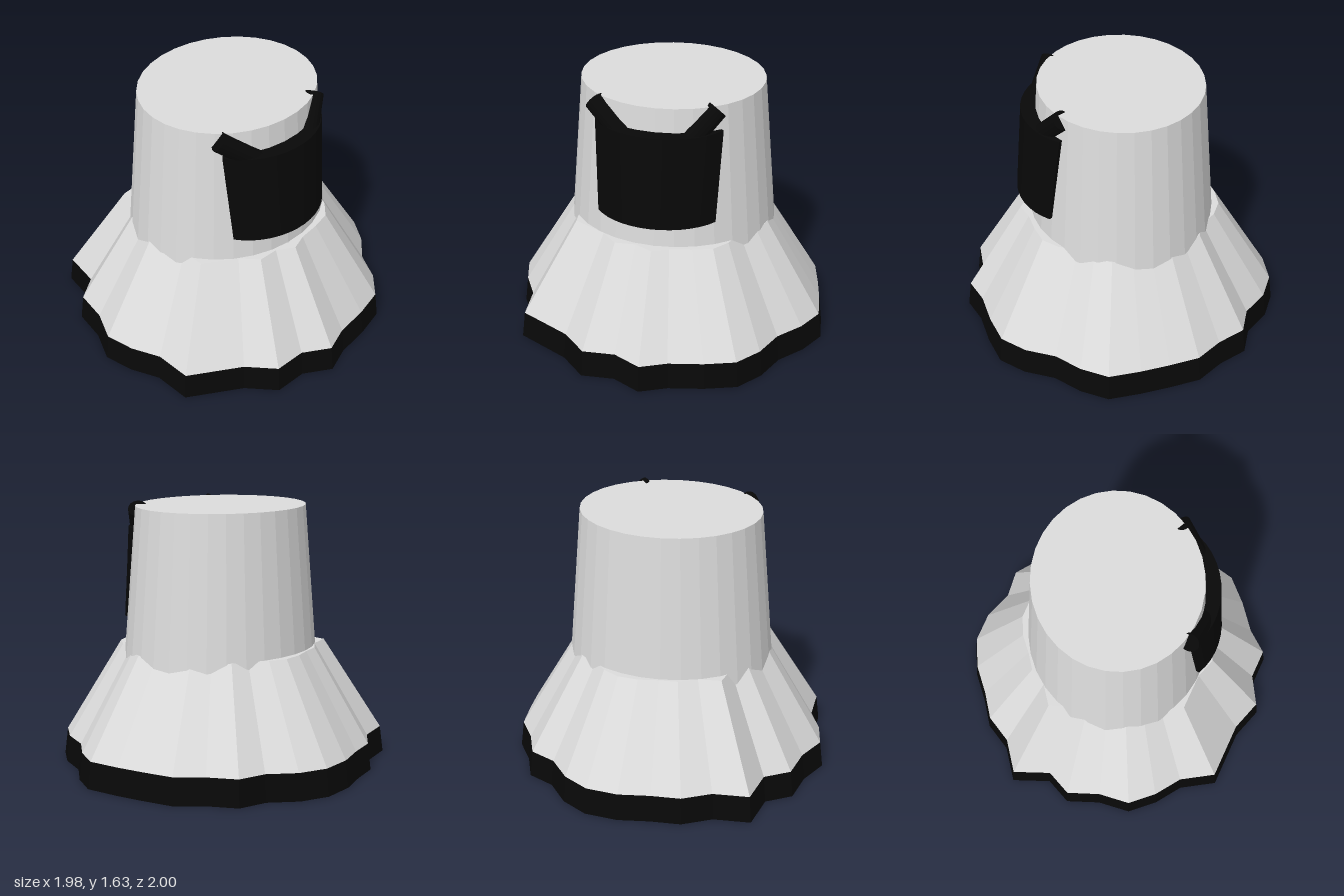
import * as THREE from 'three';

const lightGrey = new THREE.MeshStandardMaterial({ color: 0xdcdcdc, flatShading: true });
lightGrey.name = 'lightGrey';
const black = new THREE.MeshStandardMaterial({ color: 0x080808, flatShading: true });
black.name = 'black';

// Pleated hem outline, x and z of each corner
const HEM = [
  [0.19, -0.99], [0.35, -0.90], [0.49, -0.77], [0.67, -0.69], [0.81, -0.57], [0.87, -0.38], [0.91, -0.17], [0.98, -0.01],
  [0.89, 0.16], [0.90, 0.36], [0.75, 0.51], [0.67, 0.66], [0.58, 0.83], [0.35, 0.85], [0.18, 0.94], [0, 0.99],
  [-0.19, 0.92], [-0.40, 0.90], [-0.51, 0.76], [-0.75, 0.74], [-0.79, 0.52], [-0.90, 0.36], [-0.93, 0.18], [-0.98, -0.01],
  [-0.98, -0.21], [-0.90, -0.38], [-0.76, -0.52], [-0.70, -0.69], [-0.53, -0.78], [-0.38, -0.90], [-0.19, -0.94], [-0.01, -0.97],
];

// Sweeps a [scale, y] profile around the hem outline
function pleated(profile) {
  const pos = [];
  const corner = (i, [s, y]) => {
    const [x, z] = HEM[i % HEM.length];
    return [x * s, y, z * s];
  };
  for (let k = 0; k < profile.length - 1; k++) {
    for (let i = 0; i < HEM.length; i++) {
      const a = corner(i, profile[k]), b = corner(i, profile[k + 1]);
      const c = corner(i + 1, profile[k]), d = corner(i + 1, profile[k + 1]);
      pos.push(...a, ...b, ...c, ...c, ...b, ...d);
    }
  }
  const g = new THREE.BufferGeometry();
  g.setAttribute('position', new THREE.Float32BufferAttribute(pos, 3));
  g.computeVertexNormals();
  return g;
}

// Oval body measurements
const CX = -0.016, CZ = -0.005, OVAL = 1.113, TOP = 1.615, BASE = 0.61;
const radiusAt = (y) => 0.5 + (TOP - y) * 0.078;

export function createModel() {
  const model = new THREE.Group();
  const add = (name, geometry, material) => {
    const mesh = new THREE.Mesh(geometry, material);
    mesh.name = name;
    model.add(mesh);
    return mesh;
  };

  // Tapered oval body
  const body = new THREE.CylinderGeometry(radiusAt(TOP), radiusAt(BASE), TOP - BASE, 32);
  body.scale(1, 1, OVAL);
  body.translate(CX, (TOP + BASE) / 2, CZ);
  add('body', body, lightGrey);

  // Hollow pleated skirt: outside, top rim, inside, bottom rim
  add('skirt', pleated([[0.987, 0.165], [0.629, 0.75], [0.565, 0.75], [0.92, 0], [1.008, 0]]), lightGrey);
  add('hemBand', pleated([[1.008, 0], [0.987, 0.165]]), black);

  // Curved pad: a box bent around the body, thinning toward its ends
  const pad = new THREE.BoxGeometry(1, 1, 1, 1, 1, 14);
  const p = pad.attributes.position;
  for (let i = 0; i < p.count; i++) {
    const high = p.getY(i) > 0;
    const t = p.getZ(i) * 2;
    const y = high ? 1.47 : 0.907;
    const r = radiusAt(y) + (p.getX(i) > 0 ? 0.09 - 0.07 * t * t : -0.01);
    const a = t * (high ? 0.7 : 0.59);
    p.setXYZ(i, CX + r * Math.cos(a), y, CZ + r * OVAL * Math.sin(a));
  }
  pad.computeVertexNormals();
  add('pad', pad, black);

  // Two short rods rising from the pad's upper corners
  const rod = (name, from, to) => {
    const a = new THREE.Vector3(...from), b = new THREE.Vector3(...to);
    const mesh = add(name, new THREE.CylinderGeometry(0.06, 0.06, a.distanceTo(b), 16), black);
    mesh.position.copy(a).lerp(b, 0.5);
    mesh.quaternion.setFromUnitVectors(new THREE.Vector3(0, 1, 0), b.clone().sub(a).normalize());
  };
  rod('frontRod', [0.485, 1.4, 0.165], [0.365, 1.575, 0.385]);
  rod('backRod', [0.485, 1.4, -0.19], [0.365, 1.59, -0.345]);

  return model;
}
